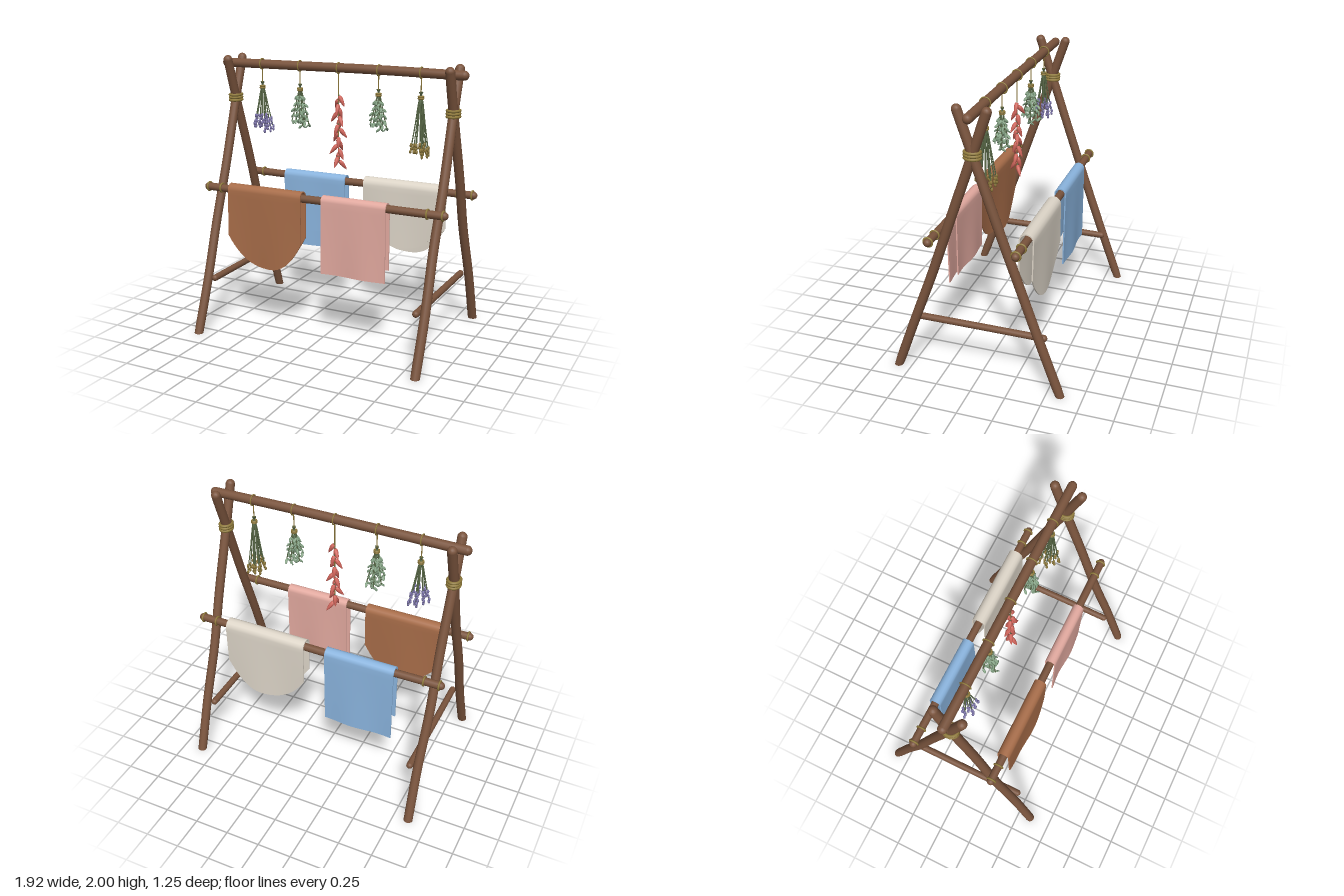
import * as THREE from 'three';

const mat = (name, color) => {
  const m = new THREE.MeshStandardMaterial({ color });
  m.name = name;
  return m;
};
const V = (x, y, z) => new THREE.Vector3(x, y, z);

export function createModel() {
  const wood = mat('wood', 0x7a543d);
  const twine = mat('twine', 0x8f7a3c);
  const stemGreen = mat('stem green', 0x5a6a48);
  const leafGreen = mat('leaf green', 0x86a486);
  const lavender = mat('lavender', 0x8078ae);
  const pepperRed = mat('pepper red', 0xd0655b);
  const rust = mat('rust cloth', 0xa86d49);
  const blue = mat('blue cloth', 0x8ab4de);
  const pink = mat('pink cloth', 0xe2a99f);
  const cream = mat('cream cloth', 0xddd5c8);

  const model = new THREE.Group();
  model.name = 'dryingRack';

  const add = (parent, name, geometry, material, x = 0, y = 0, z = 0) => {
    const mesh = new THREE.Mesh(geometry, material);
    mesh.name = name;
    mesh.position.set(x, y, z);
    parent.add(mesh);
    return mesh;
  };
  const group = (name, parent = model) => {
    const g = new THREE.Group();
    g.name = name;
    parent.add(g);
    return g;
  };

  // Round pole along a gently crooked path, with domed ends
  const pole = (name, points, r, onGround = false) => {
    const g = group(name);
    const tube = new THREE.TubeGeometry(new THREE.CatmullRomCurve3(points), 32, r, 14);
    const p = tube.attributes.position;
    if (onGround) for (let i = 0; i < p.count; i++) if (p.getY(i) < 0.03) p.setY(i, 0);
    add(g, name + 'Shaft', tube, wood);
    points.forEach((pt, i) => {
      if (i === points.length - 1 || (i === 0 && !onGround)) {
        add(g, name + 'End', new THREE.SphereGeometry(r, 14, 10), wood, pt.x, pt.y, pt.z);
      }
    });
    if (onGround) {
      const foot = add(g, name + 'Foot', new THREE.CircleGeometry(r, 14), wood, points[0].x, 0.001, points[0].z);
      foot.rotation.x = Math.PI / 2;
    }
  };

  // Ring of twine around an x-running pole
  const ringX = (parent, name, x, y, z, r, t) => {
    add(parent, name, new THREE.TorusGeometry(r, t, 8, 20), twine, x, y, z).rotation.y = Math.PI / 2;
  };

  // A-frames: crossed legs, lashing and spreader at each end
  for (const s of [-1, 1]) {
    const side = s > 0 ? 'left' : 'right';
    for (const f of [1, -1]) {
      const x = s * 0.86;
      pole(side + (f > 0 ? 'FrontLeg' : 'BackLeg'), [
        V(x, 0, f * 0.595), V(x + 0.004, 0.4, f * 0.45), V(x - 0.004, 0.8, f * 0.303),
        V(x + 0.003, 1.2, f * 0.165), V(x, 1.68, 0), V(x + 0.002, 1.968, -f * 0.098),
      ], 0.033, true);
    }
    const lashing = group(side + 'Lashing');
    for (const dy of [-0.02, 0, 0.02]) {
      const ring = add(lashing, 'lashingTurn', new THREE.TorusGeometry(0.042, 0.01, 8, 24), twine, s * 0.86, 1.68 + dy, 0);
      ring.rotation.x = Math.PI / 2;
      ring.scale.y = 1.2;
    }
    pole(side + 'Spreader', [V(s * 0.798, 0.395, -0.458), V(s * 0.8, 0.397, 0), V(s * 0.798, 0.395, 0.45)], 0.024);
  }

  // Ridge pole and the two hanging rails
  pole('ridgePole', [V(-0.927, 1.937, 0), V(-0.3, 1.94, 0), V(0.3, 1.943, 0), V(0.927, 1.937, 0)], 0.033);
  for (const f of [1, -1]) {
    const name = f > 0 ? 'frontRail' : 'backRail';
    pole(name, [V(-0.925, 1.05, f * 0.302), V(-0.2, 1.044, f * 0.302), V(0.3, 1.049, f * 0.302), V(0.925, 1.05, f * 0.302)], 0.028);
    const ties = group(name + 'Ties');
    for (const x of [-0.917, -0.807, 0.807, 0.917]) ringX(ties, 'railTie', x, 1.05, f * 0.302, 0.031, 0.007);
  }

  // Thick cloth folded over a rail: outer flap, arc over the rail, inner flap
  const cloth = (name, material, x0, x1, f, r, outer, inner, round) => {
    const geo = new THREE.BoxGeometry(1, 1, 1, 28, 32, 1);
    const p = geo.attributes.position;
    for (let i = 0; i < p.count; i++) {
      const u = p.getX(i) * 2 * f, v = 0.5 + p.getY(i);
      const rr = r + p.getZ(i) * 0.009;
      const drop = round * (Math.pow(Math.abs(u), 2.5) - 0.1 * u * (1 - u * u));
      let y, z;
      if (v < 0.375 || v > 0.625) {
        const out = v < 0.375;
        const low = out ? 1 - v / 0.375 : (v - 0.625) / 0.375;
        y = THREE.MathUtils.lerp(1.05, (out ? outer : inner) + drop, low);
        z = (out ? 1 : -1) * (rr + low * 0.007 * Math.sin(u * 4 + x0 * 9 + (out ? 0 : 2)));
      } else {
        const a = ((v - 0.375) / 0.25) * Math.PI;
        y = 1.05 + Math.sin(a) * rr;
        z = Math.cos(a) * rr;
      }
      p.setXYZ(i, (x0 + x1) / 2 + (u * (x1 - x0)) / 2, y, f * (0.302 + z));
    }
    geo.computeVertexNormals();
    add(model, name, geo, material);
  };
  cloth('rustCloth', rust, -0.73, -0.13, 1, 0.041, 0.49, 0.53, 0.22);
  cloth('pinkCloth', pink, 0.03, 0.52, 1, 0.036, 0.525, 0.6, 0);
  cloth('blueCloth', blue, -0.6, -0.08, -1, 0.039, 0.478, 0.63, 0);
  cloth('creamCloth', cream, 0.08, 0.705, -1, 0.049, 0.54, 0.6, 0.22);

  // Bead-like bud or leaf, stretched along a direction
  const bud = new THREE.SphereGeometry(1, 7, 6);
  const place = (parent, name, material, pos, dir, len, wide, thick = wide) => {
    const m = add(parent, name, bud, material, pos.x, pos.y, pos.z);
    m.quaternion.setFromUnitVectors(V(0, 1, 0), dir.clone().normalize());
    m.scale.set(wide, len, thick);
  };

  // Hanging string with a loop around the ridge
  const hang = (g, bottom) => {
    ringX(g, 'hangingLoop', 0, 1.94, 0, 0.037, 0.005);
    add(g, 'hangingString', new THREE.CylinderGeometry(0.004, 0.004, 1.91 - bottom, 8), twine, 0, (1.91 + bottom) / 2, 0);
  };

  // Tied bundle of stems; decorate() dresses each stem curve
  const bundle = (name, x, count, spread, bottom, decorate) => {
    const g = group(name);
    g.position.x = x;
    hang(g, 1.77);
    for (const y of [1.765, 1.777]) {
      add(g, 'bundleTie', new THREE.TorusGeometry(0.016, 0.007, 8, 16), twine, 0, y, 0).rotation.x = Math.PI / 2;
    }
    for (let i = 0; i < count; i++) {
      const a = i * 2.4 + 0.3, k = Math.sqrt((i + 0.6) / count);
      const R = spread * k, end = bottom + 0.06 * ((i * 0.618) % 1);
      const c = Math.cos(a), s = Math.sin(a);
      const curve = new THREE.CatmullRomCurve3([
        V(-c * 0.012, 1.81, -s * 0.012), V(c * 0.008, 1.77, s * 0.008),
        V(c * R * 0.55, (1.77 + end) / 2, s * R * 0.55), V(c * R, end, s * R),
      ]);
      add(g, 'stem', new THREE.TubeGeometry(curve, 10, 0.0042, 6), stemGreen);
      decorate(g, curve, a);
    }
  };

  // Buds clustered at the stem tips
  const tips = (material, from, n, len, wide) => (g, curve, a) => {
    for (let j = 0; j < n; j++) {
      const t = from + ((1 - from) * j) / (n - 1);
      const pos = curve.getPoint(t), side = a + j * 2.2;
      pos.add(V(Math.cos(side) * 0.004, 0, Math.sin(side) * 0.004));
      place(g, 'flowerBud', material, pos, curve.getTangent(t), len, wide);
    }
  };
  // Paired broad leaves along each stem
  const leaves = (g, curve, a) => {
    for (let j = 0; j < 5; j++) {
      const t = 0.48 + j * 0.125;
      for (const s of [-1, 1]) {
        const side = a + s * 1.2 + j * 0.9;
        const dir = V(Math.cos(side) * 0.75, -0.7, Math.sin(side) * 0.75);
        const pos = curve.getPoint(t).addScaledVector(dir, 0.019);
        place(g, 'leaf', leafGreen, pos, dir, 0.021, 0.01, 0.006);
      }
    }
  };
  bundle('lavenderBundle', -0.625, 11, 0.08, 1.44, tips(lavender, 0.82, 5, 0.014, 0.009));
  bundle('largeLeafBundle', -0.31, 8, 0.077, 1.505, leaves);
  bundle('smallLeafBundle', 0.31, 7, 0.068, 1.53, leaves);
  bundle('seedBundle', 0.625, 13, 0.078, 1.36, tips(twine, 0.92, 3, 0.015, 0.0095));

  // String of drying peppers spiralling down a cord
  const peppers = group('pepperString');
  hang(peppers, 1.27);
  const profile = [[0, -0.092], [0.006, -0.08], [0.013, -0.055], [0.0165, -0.03], [0.012, -0.008], [0, -0.004]];
  const pepperGeo = new THREE.LatheGeometry(profile.map(([r, y]) => new THREE.Vector2(r, y)), 10);
  for (let i = 0; i < 17; i++) {
    const turn = group('pepper', peppers);
    turn.position.y = 1.755 - i * 0.0295;
    turn.rotation.y = i * 2.4;
    const tilt = group('pepperTilt', turn);
    tilt.rotation.z = 0.5 + 0.2 * Math.sin(i * 1.7);
    add(tilt, 'pepperFruit', pepperGeo, pepperRed, 0, -0.008, 0);
    add(tilt, 'pepperStalk', new THREE.CylinderGeometry(0.003, 0.005, 0.02, 6), stemGreen, 0, -0.007, 0);
  }

  return model;
}
